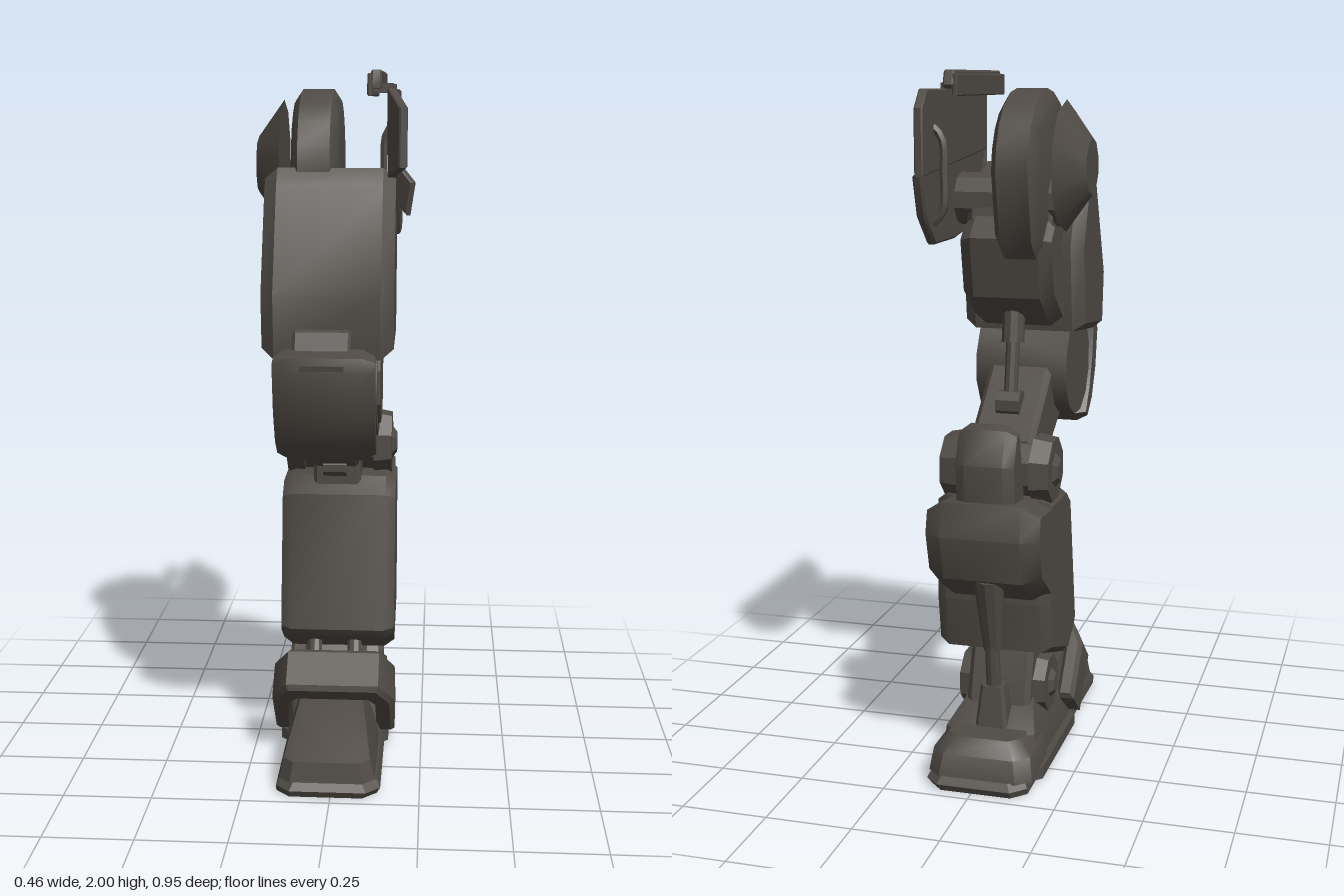
import * as THREE from 'three';
import { toCreasedNormals } from 'three/addons/utils/BufferGeometryUtils.js';
import { ConvexGeometry } from 'three/addons/geometries/ConvexGeometry.js';

const CX = -0.015; // centre line of the leg

export function createModel() {
  const leg = new THREE.Group();
  leg.name = 'mechanicalLeg';
  const metal = new THREE.MeshStandardMaterial({ color: 0x4f4a44 });
  metal.name = 'dark gunmetal';

  function add(name, geometry, crease = 0.6) {
    const mesh = new THREE.Mesh(toCreasedNormals(geometry, crease), metal);
    mesh.name = name;
    leg.add(mesh);
    return mesh;
  }

  // Side profile of [z, y] points, extruded from x0 to x1 with bevelled rims
  function slab(name, points, x0, x1, bevel = 0.02, rim = bevel) {
    const shape = new THREE.Shape(points.map(([z, y]) => new THREE.Vector2(z, y)));
    const g = new THREE.ExtrudeGeometry(shape, {
      depth: x1 - x0 - 2 * rim, bevelEnabled: bevel > 0, bevelSegments: 1,
      bevelSize: bevel, bevelThickness: rim, bevelOffset: -bevel,
    });
    g.rotateY(-Math.PI / 2).translate(x1 - rim, 0, 0);
    return add(name, g);
  }

  // Hull through chamfered rectangles, each [y, x0, x1, z0, z1, chamfer]
  function hull(name, rings) {
    const pts = [];
    for (const [y, x0, x1, z0, z1, c] of rings) {
      for (const [x, s] of [[x0, 1], [x1, -1]]) for (const [z, t] of [[z0, 1], [z1, -1]]) {
        pts.push(new THREE.Vector3(x + s * c, y, z), new THREE.Vector3(x, y, z + t * c));
      }
    }
    return add(name, new ConvexGeometry(pts));
  }

  // Cylinder lying along x
  function disc(name, z, y, r, x0, x1, sides = 8, rOuter = r) {
    const g = new THREE.CylinderGeometry(rOuter, r, x1 - x0, sides);
    g.rotateY(Math.PI / sides).rotateZ(-Math.PI / 2).translate((x0 + x1) / 2, y, z);
    return add(name, g);
  }

  // Rod between two [z, y] points
  function rod(name, a, b, r0, r1 = r0, x = CX, sides = 10) {
    const dz = b[0] - a[0], dy = b[1] - a[1];
    const g = new THREE.CylinderGeometry(r1, r0, Math.hypot(dz, dy), sides);
    g.rotateX(Math.atan2(dz, dy)).translate(x, (a[1] + b[1]) / 2, (a[0] + b[0]) / 2);
    return add(name, g);
  }

  // Pivot: octagonal bosses on both sides with pointed hubs
  function pivot(name, z, y, r, x0, x1) {
    disc(name, z, y, r * 0.8, x0 + 0.05, x1 - 0.05);
    disc(name + 'BossLeft', z, y, r, x1 - 0.07, x1 - 0.015, 8, r * 0.9);
    disc(name + 'BossRight', z, y, r * 0.9, x0 + 0.015, x0 + 0.07, 8, r);
    disc(name + 'HubLeft', z, y, r * 0.55, x1 - 0.02, x1, 6, r * 0.3);
    disc(name + 'HubRight', z, y, r * 0.3, x0, x0 + 0.02, 6, r * 0.55);
  }

  // Hip: rounded core, domed outer cap and axle
  const hipProfile = [];
  for (let i = 0; i <= 10; i++) {
    const a = (i / 10) * Math.PI;
    hipProfile.push([-0.045 + 0.225 * Math.cos(a), 1.725 + 0.225 * Math.sin(a)]);
  }
  hipProfile.push([-0.23, 1.54], [-0.15, 1.46], [0.12, 1.46], [0.18, 1.56]);
  slab('hipCore', hipProfile, -0.13, 0, 0.03, 0.02);
  disc('hipCap', -0.045, 1.735, 0.08, -0.24, -0.165, 10, 0.185);
  disc('hipAxle', -0.045, 1.64, 0.075, -0.17, 0.15, 10);

  // Thigh: front armour, inner frame and rear block
  slab('thighArmour', [[0.17, 1.735], [0.21, 1.69], [0.335, 1.40], [0.315, 1.22], [0.04, 1.25],
    [0.01, 1.5], [0.09, 1.7]], -0.2, 0.165, 0.025, 0.035);
  slab('thighFrame', [[0.14, 1.62], [0.1, 1.27], [-0.02, 1.3], [-0.14, 1.5], [-0.12, 1.62]], -0.14, 0.11);
  slab('thighRearBlock', [[-0.03, 1.55], [0.04, 1.3], [-0.02, 1.275], [-0.15, 1.37], [-0.185, 1.54],
    [-0.12, 1.6]], -0.15, 0.115, 0.025, 0.035);

  // Hip side shield with flared front flap, top rail and inner grip
  slab('shieldUpper', [[0.2, 1.95], [-0.36, 1.95], [-0.405, 1.9], [-0.405, 1.72], [0.2, 1.77]], 0.14, 0.165, 0.004);
  slab('shieldLower', [[0.2, 1.775], [-0.405, 1.725], [-0.37, 1.61], [-0.285, 1.53], [-0.1, 1.53],
    [0.05, 1.55], [0.13, 1.66]], 0.145, 0.172, 0.006);
  const flap = slab('shieldFlap', [[0, 1.95], [0.1, 1.9], [0.1, 1.74], [0, 1.71]], -0.025, 0, 0.004);
  flap.position.set(0.165, 0, 0.195);
  flap.rotation.y = 0.35;
  const spur = slab('shieldSpur', [[0, 1.75], [0.06, 1.7], [0.04, 1.61], [0, 1.64]], -0.02, 0, 0.004);
  spur.position.set(0.18, 0, 0.215);
  spur.rotation.y = 0.8;
  slab('shieldRail', [[0.2, 1.97], [0.19, 2], [-0.265, 2], [-0.28, 1.96], [-0.27, 1.95], [0.2, 1.95]], 0.095, 0.125, 0.005);
  slab('shieldRailLip', [[0.2, 1.99], [-0.27, 1.99], [-0.27, 1.93], [0.2, 1.93]], 0.085, 0.1, 0.003);
  for (const z of [-0.2, 0.12]) slab('railBracket', [[z, 1.965], [z + 0.03, 1.965], [z + 0.03, 1.94], [z, 1.94]], 0.1, 0.155, 0);
  const gripPath = new THREE.CatmullRomCurve3([[0.145, 1.85, -0.3], [0.12, 1.82, -0.3], [0.115, 1.72, -0.3],
    [0.12, 1.62, -0.3], [0.15, 1.59, -0.3]].map((p) => new THREE.Vector3(...p)));
  add('shieldGrip', new THREE.TubeGeometry(gripPath, 12, 0.012, 6));

  // Knee drum, curved knee guard and its top tab
  disc('kneeDrum', 0.16, 1.135, 0.155, -0.155, 0.12, 12);
  disc('kneeDrumFace', 0.16, 1.135, 0.13, 0.11, 0.128, 8, 0.12);
  slab('kneeGuard', [[0.345, 1.255], [0.415, 1.24], [0.425, 1.2], [0.4, 1.08], [0.35, 0.985], [0.28, 0.93],
    [0.235, 0.96], [0.29, 1.04], [0.325, 1.13]], -0.16, 0.118, 0.015, 0.035);
  slab('kneeGuardMount', [[0.36, 1.2], [0.35, 1.05], [0.2, 1.0], [0.2, 1.24]], -0.1, 0.07, 0.01);
  slab('kneeGuardTab', [[0.3, 1.31], [0.345, 1.3], [0.37, 1.23], [0.3, 1.22]], -0.11, 0.05, 0.008);
  slab('kneeGuardInset', [[0.415, 1.22], [0.426, 1.22], [0.42, 1.18], [0.41, 1.18]], -0.085, 0.035, 0);

  // Link from knee to shin pivot, with a ram underneath and a piston behind
  slab('kneeLink', [[0.06, 1.19], [0, 1.135], [-0.2, 0.97], [-0.22, 0.87], [-0.13, 0.83], [0.15, 0.99]], -0.11, 0.08, 0.015);
  slab('linkRam', [[0.18, 0.965], [0.165, 0.93], [-0.05, 0.82], [-0.09, 0.88], [0.13, 1.0]], -0.08, 0.055, 0.01);
  slab('linkFork', [[0.0, 0.94], [0.0, 0.79], [-0.15, 0.78], [-0.15, 0.94]], -0.08, 0.06, 0.01);
  disc('linkPin', 0.005, 0.845, 0.028, -0.05, 0.02, 8);
  rod('thighPistonSleeve', [-0.05, 1.36], [-0.07, 1.23], 0.033);
  rod('thighPistonRod', [-0.06, 1.28], [-0.105, 1.02], 0.02);
  disc('thighPistonEye', -0.1, 1.055, 0.04, CX - 0.035, CX + 0.035);
  pivot('shinPivot', -0.175, 0.885, 0.105, -0.185, 0.165);

  // Shin armour, bulging calf and rear knob
  slab('shinArmour', [[0.01, 0.76], [0.085, 0.36], [0.065, 0.33], [-0.02, 0.275], [-0.235, 0.35], [-0.26, 0.5],
    [-0.25, 0.81], [-0.05, 0.805]], -0.175, 0.165, 0.02, 0.03);
  slab('calf', [[-0.18, 0.81], [-0.385, 0.825], [-0.41, 0.73], [-0.375, 0.6], [-0.28, 0.53], [-0.2, 0.48]],
    -0.175, 0.155, 0.03, 0.05);
  slab('calfKnob', [[-0.275, 1.02], [-0.29, 1.035], [-0.33, 1.025], [-0.37, 0.93], [-0.355, 0.78], [-0.22, 0.78],
    [-0.25, 0.93]], -0.095, 0.075, 0.02, 0.03);

  // Heel piston and its bracket
  rod('heelPistonSleeve', [-0.285, 0.37], [-0.33, 0.6], 0.028, 0.045);
  rod('heelPistonRod', [-0.275, 0.2], [-0.3, 0.42], 0.021);
  hull('heelPistonBracket', [[0.12, CX - 0.05, CX + 0.05, -0.32, -0.23, 0.01], [0.26, CX - 0.035, CX + 0.035, -0.305, -0.245, 0.01]]);

  // Ankle pivot, its support and front rods
  slab('ankleSupport', [[0.03, 0.21], [-0.03, 0.29], [-0.06, 0.36], [-0.19, 0.36], [-0.24, 0.21], [-0.26, 0.1],
    [0.08, 0.1]], -0.11, 0.08, 0.015);
  pivot('anklePivot', -0.115, 0.215, 0.095, -0.16, 0.13);
  for (const s of [-1, 1]) rod('ankleRod', [0.1, 0.17], [0.01, 0.33], 0.022, 0.022, CX + s * 0.06);

  // Foot: sole plates, toe, midfoot and heel
  hull('sole', [[0, -0.155, 0.13, -0.465, 0.465, 0.04], [0.02, -0.155, 0.14, -0.475, 0.475, 0.04],
    [0.04, -0.145, 0.13, -0.46, 0.46, 0.04]]);
  hull('soleMiddle', [[0.006, -0.175, 0.15, -0.36, 0.1, 0.03], [0.04, -0.175, 0.15, -0.36, 0.1, 0.03]]);
  hull('toe', [[0.035, -0.145, 0.125, 0.0, 0.455, 0.03], [0.095, -0.135, 0.11, 0.0, 0.445, 0.03],
    [0.19, -0.105, 0.08, 0.0, 0.23, 0.02]]);
  hull('midfoot', [[0.035, -0.155, 0.13, -0.35, 0.12, 0.02], [0.13, -0.145, 0.12, -0.33, 0.1, 0.02],
    [0.2, -0.11, 0.08, -0.22, 0.06, 0.02]]);
  hull('heel', [[0.035, -0.165, 0.14, -0.455, -0.2, 0.04], [0.1, -0.155, 0.13, -0.44, -0.2, 0.04],
    [0.14, -0.12, 0.095, -0.4, -0.22, 0.03]]);

  // Slanted strap arching over the instep
  const arch = new THREE.Shape([[-0.18, 0], [-0.18, 0.18], [-0.135, 0.255], [0.135, 0.255], [0.18, 0.18], [0.18, 0],
    [0.125, 0], [0.125, 0.15], [0.1, 0.185], [-0.1, 0.185], [-0.125, 0.15], [-0.125, 0]].map((p) => new THREE.Vector2(...p)));
  const strap = add('instepStrap', new THREE.ExtrudeGeometry(arch, {
    depth: 0.11, bevelEnabled: true, bevelSegments: 1, bevelSize: 0.012, bevelThickness: 0.014, bevelOffset: -0.012,
  }).translate(0, 0, -0.055));
  strap.position.set(-0.01, 0.085, 0.035);
  strap.rotation.x = 0.7;

  return leg;
}
